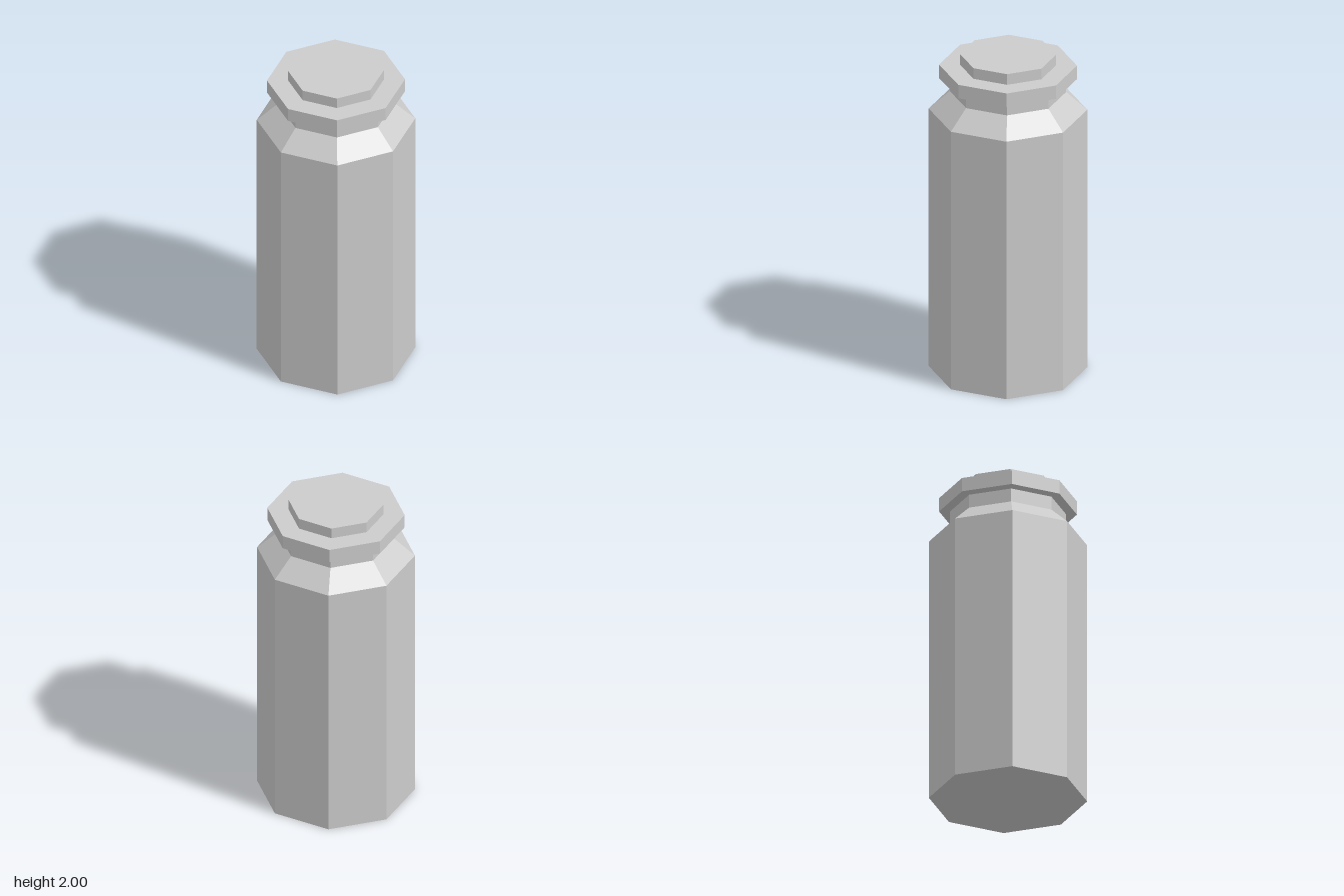
import * as THREE from 'three';

const SIDES = 8;

export function createModel() {
  const group = new THREE.Group();
  const material = new THREE.MeshStandardMaterial({ color: 0xcccccc, flatShading: true });

  // Closed octagonal solid turned from a bottom-to-top [radius, y] profile
  const addTurned = (name, profile) => {
    const bottom = profile[0][1];
    const top = profile[profile.length - 1][1];
    const points = [[0, bottom], ...profile, [0, top]].map(([r, y]) => new THREE.Vector2(r, y));
    const mesh = new THREE.Mesh(new THREE.LatheGeometry(points, SIDES), material);
    mesh.name = name;
    group.add(mesh);
  };

  // Straight body, sloping shoulder and short neck
  addTurned('bottle', [[0.463, 0], [0.463, 1.65], [0.34, 1.763], [0.34, 1.846]]);

  // Wide lid with a smaller raised step on top
  addTurned('lid', [[0.403, 1.846], [0.403, 1.932], [0.28, 1.932], [0.28, 2]]);

  return group;
}
